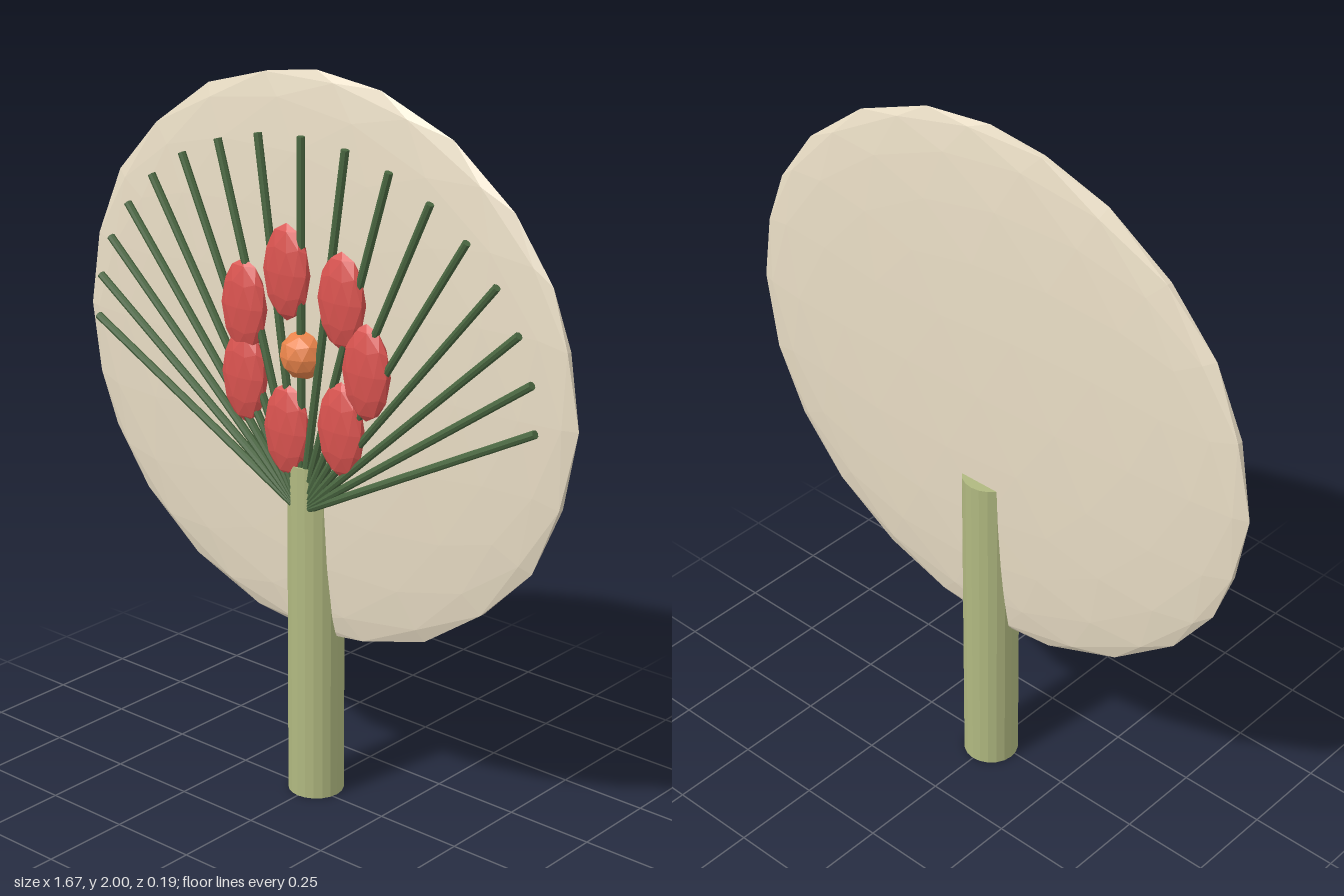
import * as THREE from 'three';

const material = (color) => new THREE.MeshStandardMaterial({ color, flatShading: true });

// Faceted ellipsoid with a vertex at each vertical pole
function ellipsoid(rx, ry, rz, detail) {
  const geo = new THREE.IcosahedronGeometry(1, detail);
  geo.rotateX(-Math.atan((1 + Math.sqrt(5)) / 2));
  geo.rotateY(Math.PI / 2);
  geo.scale(rx, ry, rz);
  return geo;
}

export function createModel() {
  const model = new THREE.Group();
  model.name = 'handFan';

  const add = (name, geo, mat, x, y, z, parent = model) => {
    const mesh = new THREE.Mesh(geo, mat);
    mesh.name = name;
    mesh.position.set(x, y, z);
    parent.add(mesh);
    return mesh;
  };
  const group = (name) => {
    const g = new THREE.Group();
    g.name = name;
    model.add(g);
    return g;
  };

  // Flattened disc and the handle that passes through its lower edge
  add('fanDisc', ellipsoid(0.835, 0.767, 0.05, 3), material(0xe8dcc4), 0, 1.233, -0.017);
  add('handle', new THREE.CylinderGeometry(0.077, 0.077, 0.96, 20), material(0xb0b880), 0, 0.48, -0.017);

  // Ribs spread from the top of the handle to points on an elliptical arc
  const ribs = group('ribs');
  const ribMat = material(0x4a6741);
  const base = new THREE.Vector3(0, 0.833, 0.043);
  const up = new THREE.Vector3(0, 1, 0);
  for (let i = -8; i <= 8; i++) {
    const a = (i * Math.PI) / 16;
    const tip = new THREE.Vector3(0.75 * Math.sin(a), 1.225 + 0.615 * Math.cos(a), 0.043);
    const dir = tip.clone().sub(base);
    const mid = tip.clone().add(base).multiplyScalar(0.5);
    const geo = new THREE.CylinderGeometry(0.011, 0.011, dir.length(), 8);
    const rib = add('rib', geo, ribMat, mid.x, mid.y, mid.z, ribs);
    rib.quaternion.setFromUnitVectors(up, dir.normalize());
  }

  // Flower: ring of seven upright petals around a round centre
  const flower = group('flower');
  const petalMat = material(0xd9534f);
  const petalGeo = ellipsoid(0.077, 0.13, 0.03, 1);
  for (let i = 0; i < 7; i++) {
    const a = (i * Math.PI * 2) / 7;
    add('petal', petalGeo, petalMat, 0.22 * Math.cos(a), 1.265 + 0.22 * Math.sin(a), 0.043, flower);
  }
  add('flowerCentre', ellipsoid(0.066, 0.066, 0.066, 1), material(0xe8834a), 0, 1.265, 0.029, flower);

  return model;
}
